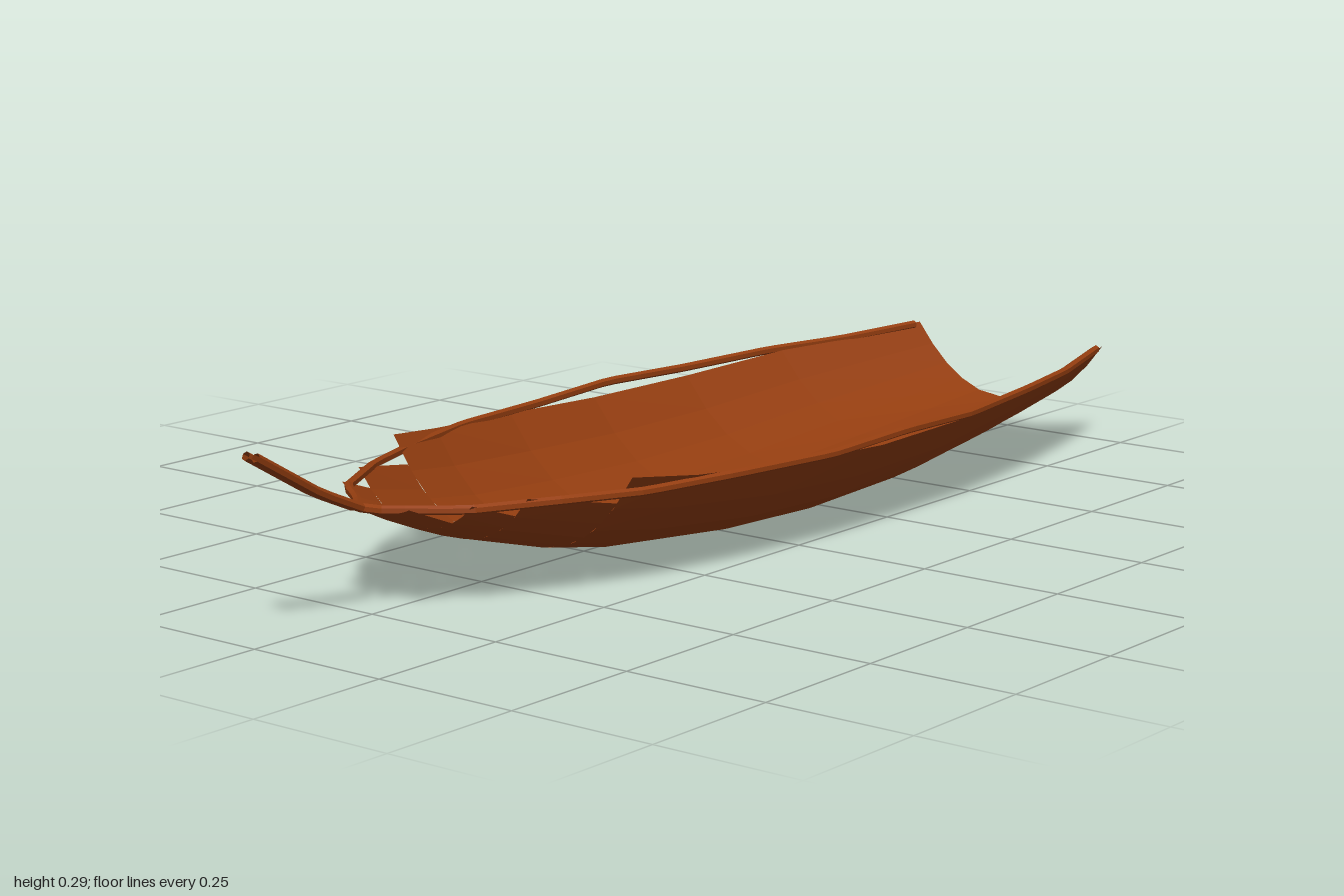
import * as THREE from 'three';

export function createModel() {
  const boat = new THREE.Group();
  boat.name = 'boat';
  const wood = new THREE.MeshStandardMaterial({ color: 0x953e10, flatShading: true, side: THREE.DoubleSide });
  wood.name = 'reddish brown wood';

  // Hull stations, stern to bow: z, keel height, half width, rim height,
  // part of the section kept (steps give the jagged bow rim), curve power
  const stations = [
    [-1, 0.055, 0.205, 0.18, 1, 2.3],
    [-0.85, 0.043, 0.237, 0.175, 1, 2.5],
    [-0.65, 0.028, 0.274, 0.168, 1, 2.7],
    [-0.4, 0.012, 0.302, 0.156, 1, 3],
    [-0.15, 0.004, 0.311, 0.155, 1, 3],
    [0.08, 0.011, 0.306, 0.165, 1, 3],
    [0.3, 0.03, 0.277, 0.18, 1, 3],
    [0.43, 0.053, 0.25, 0.195, 1, 3],
    [0.43, 0.053, 0.25, 0.195, 0.88, 3],
    [0.59, 0.096, 0.176, 0.18, 1, 3],
    [0.59, 0.096, 0.176, 0.18, 0.86, 3],
    [0.67, 0.128, 0.135, 0.177, 1, 3],
    [0.67, 0.128, 0.135, 0.177, 0.7, 3],
    [0.75, 0.165, 0.08, 0.178, 1, 3],
  ];
  const half = [0.32, 0.52, 0.69, 0.85, 1];
  const across = [...half.map((f) => -f).reverse(), 0, ...half];
  const positions = [];
  const indices = [];
  stations.forEach(([z, keel, width, rim, kept, power], i) => {
    across.forEach((f, j) => {
      const t = f * kept;
      positions.push(t * width, keel + (rim - keel) * Math.abs(t) ** power, z);
      if (i && j && stations[i - 1][0] !== z) {
        const d = i * across.length + j;
        const c = d - 1;
        const b = d - across.length;
        const a = b - 1;
        indices.push(a, c, b, b, c, d);
      }
    });
  });
  const hullShape = new THREE.BufferGeometry();
  hullShape.setAttribute('position', new THREE.Float32BufferAttribute(positions, 3));
  hullShape.setIndex(indices);
  hullShape.computeVertexNormals();
  const hull = new THREE.Mesh(hullShape, wood);
  hull.name = 'hull';
  boat.add(hull);

  // Slim rails follow the rim and rise side by side as the prow
  const railPoints = [
    [0.204, 0.178, -0.98], [0.25, 0.17, -0.8], [0.287, 0.171, -0.62], [0.315, 0.168, -0.4],
    [0.323, 0.174, -0.2], [0.317, 0.167, 0], [0.292, 0.17, 0.22], [0.25, 0.168, 0.4],
    [0.2, 0.171, 0.53], [0.125, 0.17, 0.67], [0.06, 0.169, 0.715], [0.011, 0.171, 0.765],
    [0.01, 0.215, 0.865], [0.01, 0.292, 0.997],
  ];
  for (const side of [1, -1]) {
    const path = new THREE.CurvePath();
    const points = railPoints.map(([x, y, z]) => new THREE.Vector3(side * x, y, z));
    for (let i = 1; i < points.length; i++) path.add(new THREE.LineCurve3(points[i - 1], points[i]));
    const rail = new THREE.Mesh(new THREE.TubeGeometry(path, 60, 0.0075, 6, false), wood);
    rail.name = side > 0 ? 'leftRail' : 'rightRail';
    boat.add(rail);
  }
  return boat;
}
